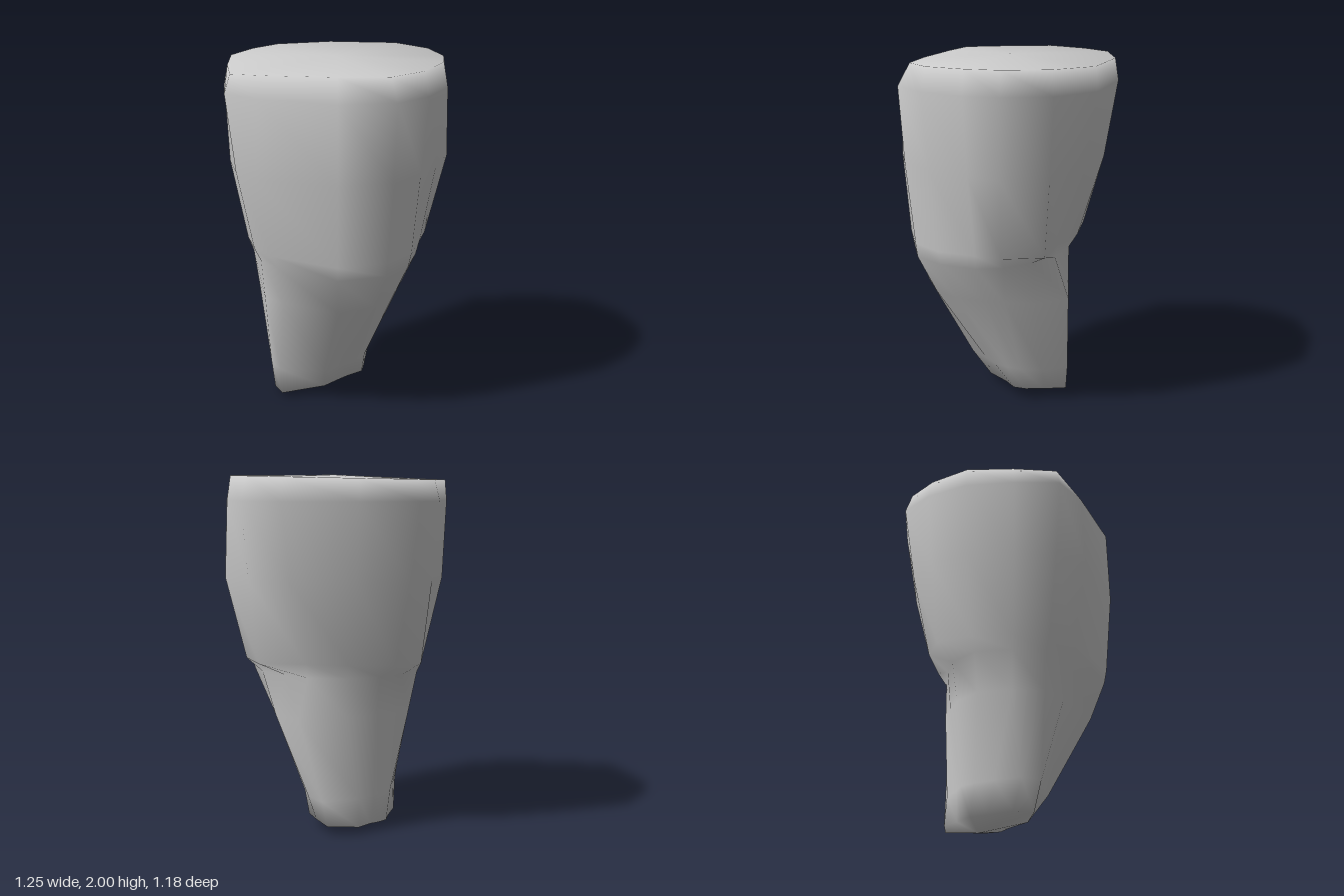
import * as THREE from 'three';

// Compass angles (degrees, +x toward +z) of the ridges running down the rock
const ANGLES = [0, 24, 45, 73, 115, 133, 155, 180, 202, 220, 250, 289, 316, 342];

// Cross-sections from top to bottom: height, centre x, centre z, radius at each angle
const RINGS = [
  [1.985, 0, 0, .60, .60, .58, .48, .53, .65, .60, .62, .62, .63, .58, .60, .59, .59],
  [1.86, 0, 0, .625, .635, .65, .61, .62, .685, .62, .63, .65, .67, .60, .62, .625, .61],
  [1.43, 0, 0, .575, .59, .62, .62, .64, .63, .60, .61, .61, .60, .53, .53, .58, .625],
  [.97, 0, 0, .49, .54, .57, .58, .53, .53, .51, .505, .55, .49, .39, .36, .52, .51],
  [.89, 0, 0, .47, .52, .56, .565, .49, .49, .48, .475, .43, .37, .34, .34, .345, .42],
  [.67, 0, 0, .37, .41, .45, .48, .45, .47, .45, .43, .39, .35, .34, .44, .41, .36],
  [.20, -.09, -.05, .25, .24, .24, .31, .38, .36, .27, .24, .235, .21, .24, .34, .29, .26],
  [.045, -.10, -.08, .235, .18, .18, .23, .37, .34, .235, .21, .18, .17, .22, .29, .24, .24],
];

function rockGeometry() {
  const n = ANGLES.length, last = RINGS.length - 1;
  const pos = [], idx = [];
  RINGS.forEach(([y, cx, cz, ...radii], r) => {
    radii.forEach((radius, i) => {
      const a = THREE.MathUtils.degToRad(ANGLES[i]);
      const x = cx + radius * Math.cos(a), z = cz + radius * Math.sin(a);
      // Slight lean of the top and bottom rims
      const lean = r === 0 ? 0.02 * x - 0.03 * Math.max(z, 0) : r === last ? 0.1 * (x + 0.1) : 0;
      pos.push(x, y + lean, z);
    });
  });
  const top = pos.length / 3, bottom = top + 1;
  pos.push(0, 2, 0, -0.1, 0, -0.12);

  for (let j = 0; j < n; j++) {
    const k = (j + 1) % n;
    // Side walls
    for (let r = 0; r < last; r++) {
      const a = r * n + j, b = r * n + k, c = a + n, d = b + n;
      idx.push(a, b, c, b, d, c);
    }
    // Top and underside
    idx.push(top, k, j);
    idx.push(bottom, last * n + j, last * n + k);
  }

  const geo = new THREE.BufferGeometry();
  geo.setAttribute('position', new THREE.Float32BufferAttribute(pos, 3));
  geo.setIndex(idx);
  geo.computeVertexNormals();
  return geo;
}

export function createModel() {
  const stone = new THREE.MeshStandardMaterial({ color: 0xcccccc });
  stone.name = 'pale stone';
  const rock = new THREE.Mesh(rockGeometry(), stone);
  rock.name = 'rockPillar';
  const group = new THREE.Group();
  group.name = 'rock';
  group.add(rock);
  return group;
}
